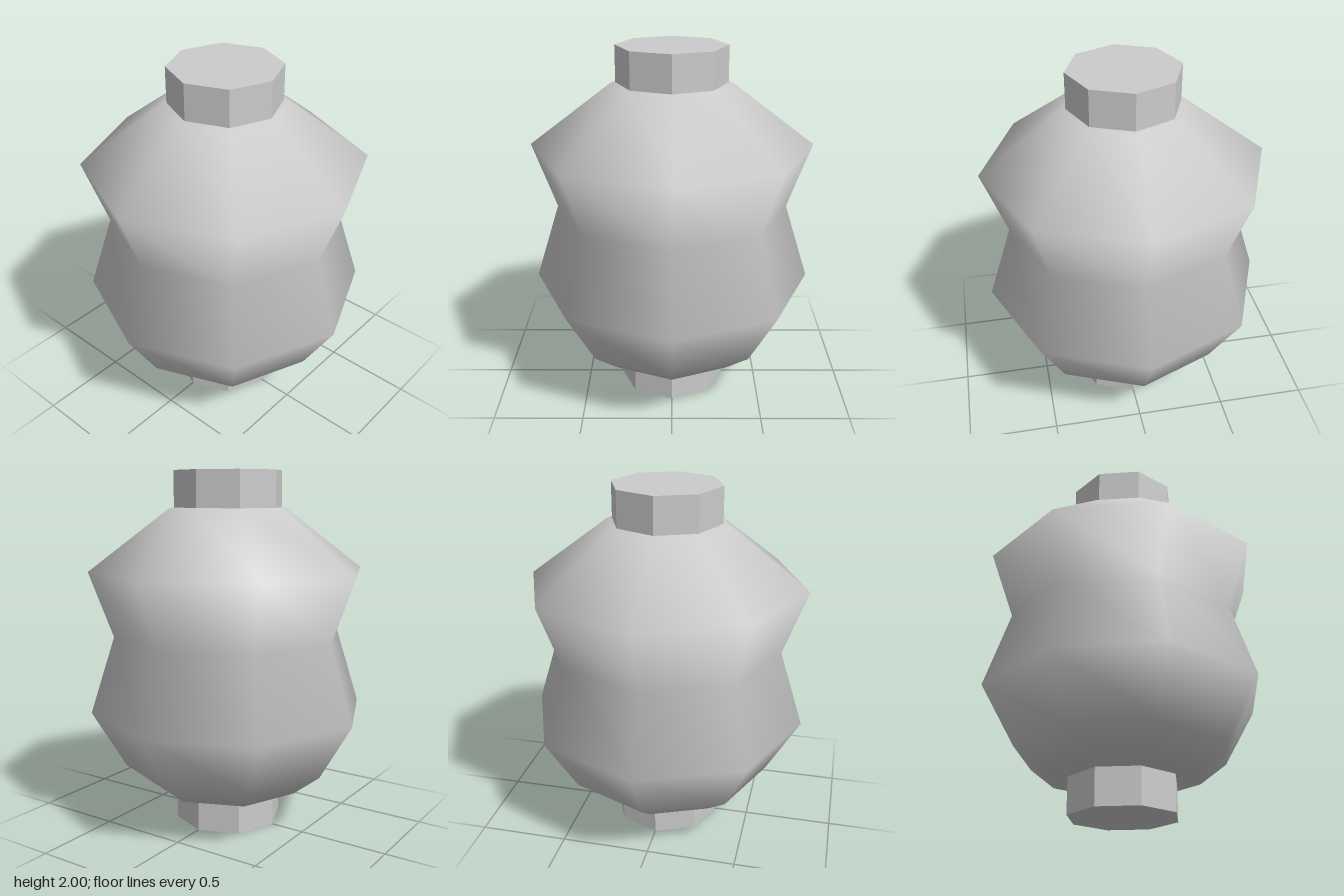
import * as THREE from 'three';

const SIDES = 8;

export function createModel() {
  const model = new THREE.Group();
  model.name = 'lantern';
  const smooth = new THREE.MeshStandardMaterial({ color: 0xcccccc });
  const flat = new THREE.MeshStandardMaterial({ color: 0xcccccc, flatShading: true });

  // Closed eight-sided body with a pinched waist, smooth shaded
  const profile = [
    [0, 0.215], [0.44, 0.215], [0.6, 0.34], [0.787, 0.66],
    [0.65, 1.09], [0.782, 1.455], [0.33, 1.797], [0, 1.8],
  ].map(([r, y]) => new THREE.Vector2(r, y));
  const body = new THREE.Mesh(new THREE.LatheGeometry(profile, SIDES), smooth);
  body.name = 'body';
  model.add(body);

  // Flat-sided octagonal collars below and above the body
  const collar = new THREE.CylinderGeometry(0.305, 0.305, 0.2, SIDES);
  for (const [name, y] of [['bottomCollar', 0.1], ['topCollar', 1.9]]) {
    const mesh = new THREE.Mesh(collar, flat);
    mesh.name = name;
    mesh.position.y = y;
    model.add(mesh);
  }

  return model;
}
